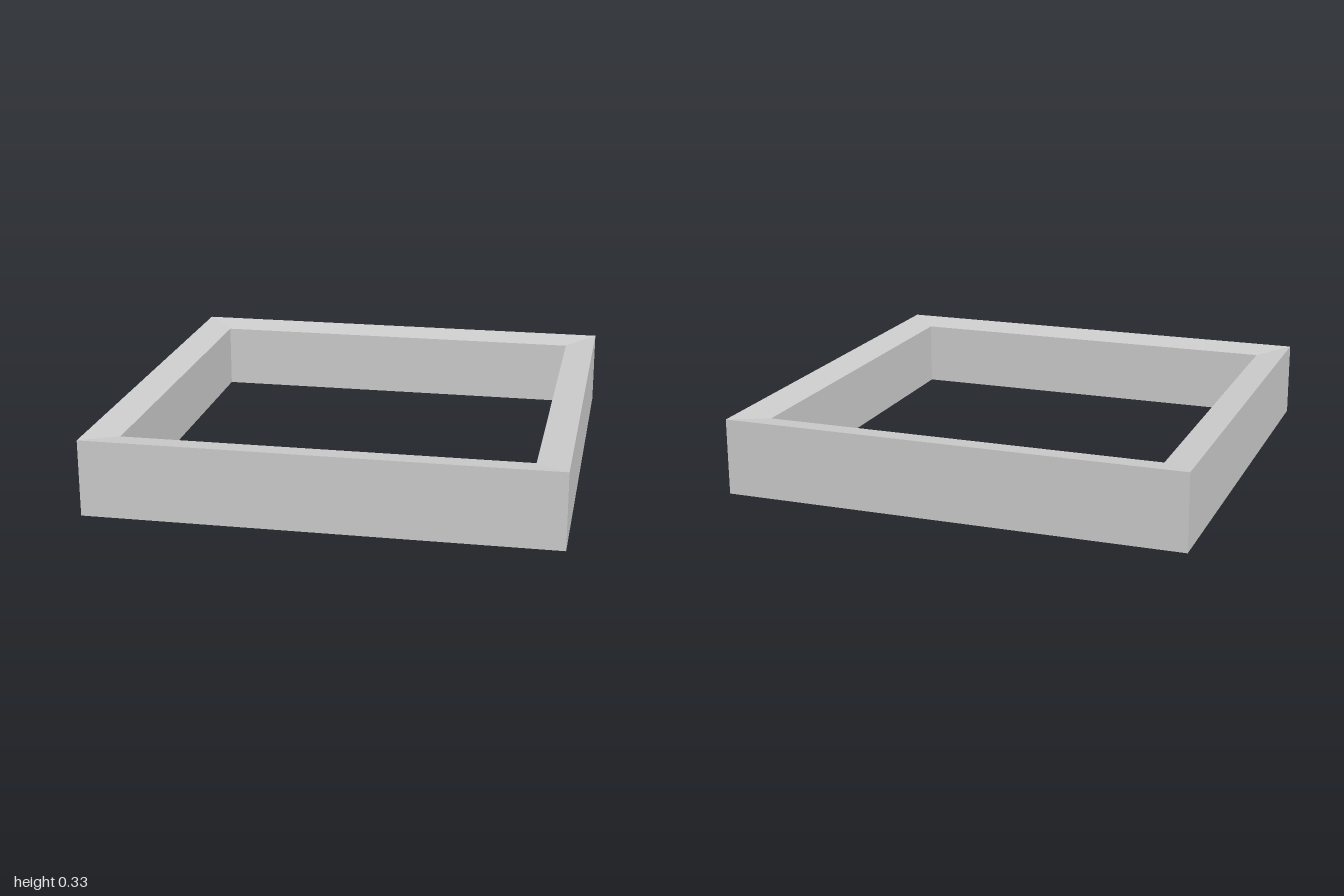
import * as THREE from 'three';

export function createModel() {
  const group = new THREE.Group();
  const height = 0.33, outer = 1, inner = 0.862, slope = 0.021;

  // Rail cross-section: top and bottom faces taper slightly towards the opening
  const profile = [
    [outer, 0],
    [outer, height],
    [inner, height - slope],
    [inner, slope],
    [outer, 0],
  ].map(([half, y]) => new THREE.Vector2(half * Math.SQRT2, y));

  // Four-sided sweep gives a square frame with mitred corners
  const geometry = new THREE.LatheGeometry(profile, 4, Math.PI / 4).toNonIndexed();
  geometry.computeVertexNormals();

  const frame = new THREE.Mesh(
    geometry,
    new THREE.MeshStandardMaterial({ color: 0xcccccc, flatShading: true })
  );
  frame.name = 'squareFrame';
  group.add(frame);
  return group;
}
